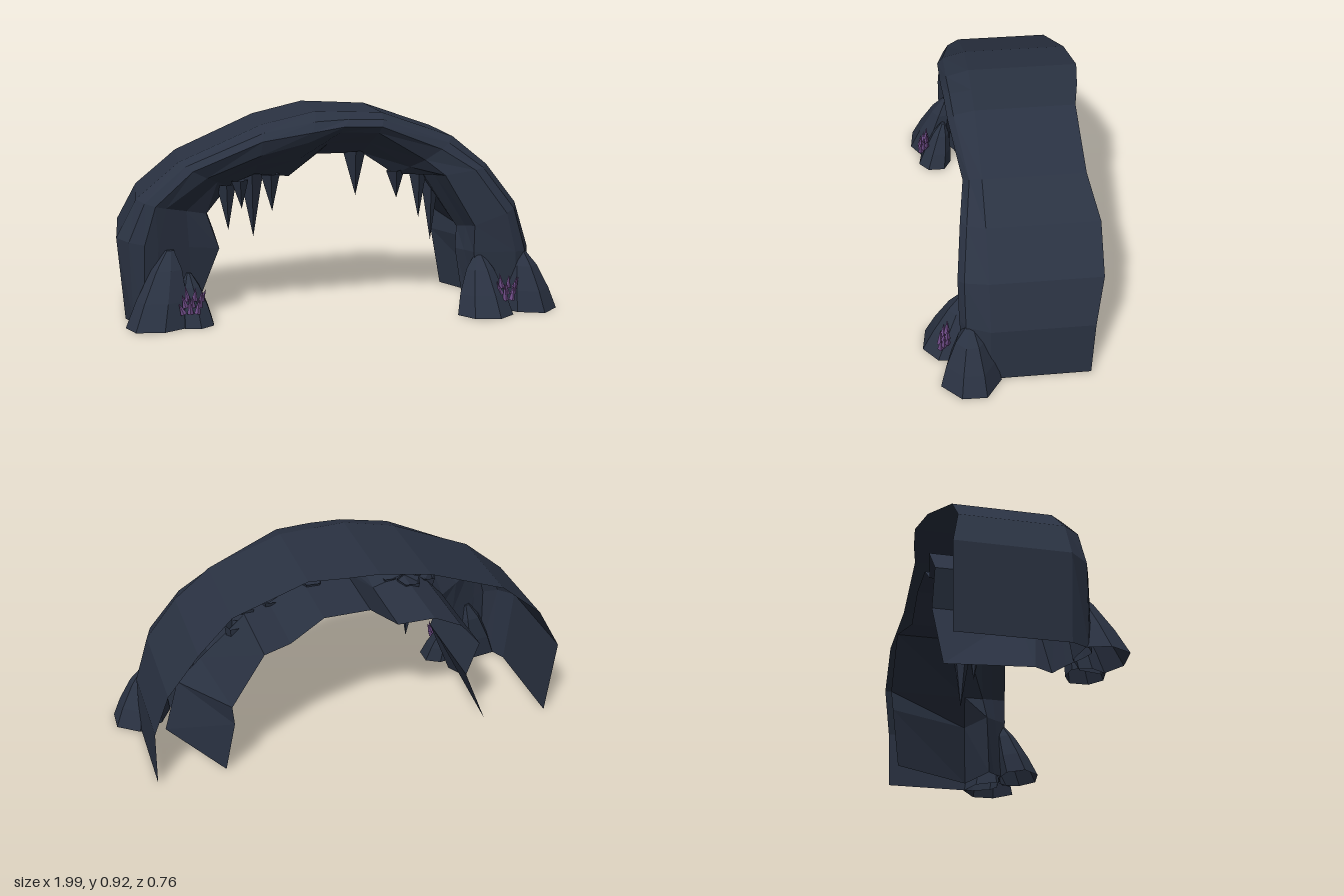
import * as THREE from 'three';

const rock = new THREE.MeshStandardMaterial({ color: 0x2a3242, side: THREE.DoubleSide });
rock.name = 'slate rock';
const violet = new THREE.MeshStandardMaterial({ color: 0x6c4a84, side: THREE.DoubleSide });
violet.name = 'violet crystal';

// Faceted surface through equal-length rows of [x, y, z] points
function loft(rows, closed = false) {
  const n = rows[0].length, index = [];
  for (let i = 0; i < rows.length - 1; i++) {
    for (let j = 0; j < (closed ? n : n - 1); j++) {
      const k = (j + 1) % n;
      const a = i * n + j, b = i * n + k, c = a + n, d = b + n;
      index.push(a, b, c, b, d, c);
    }
  }
  const geo = new THREE.BufferGeometry();
  geo.setAttribute('position', new THREE.Float32BufferAttribute(rows.flat(2), 3));
  geo.setIndex(index);
  const flat = geo.toNonIndexed();
  flat.computeVertexNormals();
  return flat;
}

function add(group, name, geo, material) {
  const mesh = new THREE.Mesh(geo, material);
  mesh.name = name;
  group.add(mesh);
  return mesh;
}

// Arch stations: outer x, y, inner x, y, outer back z, inner back z,
// front rim z, rim width (share of thickness), inner front z, depth of recess behind it
const stations = [
  [-0.97, 0.00, -0.67, 0.00, -0.36, -0.34, 0.20, 0.45, 0.10, 0.85],
  [-1.00, 0.37, -0.545, 0.30, -0.37, -0.37, 0.20, 0.40, 0.07, 1],
  [-0.91, 0.54, -0.60, 0.46, -0.335, -0.37, 0.19, 0.42, 0.07, 1],
  [-0.72, 0.70, -0.50, 0.58, -0.325, -0.38, 0.18, 0.55, 0.05, 1],
  [-0.35, 0.86, -0.38, 0.63, -0.365, -0.36, 0.225, 0.55, 0.04, 1],
  [-0.11, 0.915, -0.22, 0.61, -0.385, -0.33, 0.225, 0.42, 0.00, 1],
  [0.04, 0.91, -0.09, 0.71, -0.365, -0.33, 0.22, 0.40, 0.00, 1],
  [0.19, 0.905, 0.12, 0.71, -0.335, -0.33, 0.215, 0.42, 0.00, 1],
  [0.52, 0.79, 0.27, 0.61, -0.335, -0.33, 0.175, 0.55, 0.02, 1],
  [0.68, 0.66, 0.40, 0.61, -0.375, -0.38, 0.20, 0.75, 0.04, 1],
  [0.82, 0.48, 0.55, 0.37, -0.375, -0.38, 0.225, 0.80, 0.08, 0.8],
  [0.885, 0.27, 0.54, 0.27, -0.34, -0.37, 0.225, 0.82, 0.10, 0.5],
  [0.89, 0.00, 0.58, 0.00, -0.33, -0.33, 0.21, 0.82, 0.12, 0.35],
];

function archGeometry() {
  return loft(stations.map(([ox, oy, ix, iy, backOut, backIn, rim, width, innerZ, recess]) => {
    // Section from outer back edge, round the front rim, to inner back edge
    const section = [
      [0, backOut], [0, -0.1], [0, 0.1], [0.12, rim - 0.025], [0.27, rim],
      [width, rim - 0.02], [(width + 1) / 2, (rim + innerZ) / 2 - 0.015],
      [1, innerZ], [recess, innerZ - 0.08], [1, backIn],
    ];
    return section.map(([t, z]) => [ox + t * (ix - ox), oy + t * (iy - oy), z]);
  }));
}

// Boulder: uneven rings drawn up to a leaning tip
function boulder([cx, cz, rx, rz, tipX, tipY, tipZ], seed) {
  const rings = [[0, 1], [0.35, 0.82], [0.75, 0.5], [1, 0.14]];
  const rows = rings.map(([h, r]) => {
    const row = [];
    for (let i = 0; i < 7; i++) {
      const a = -i / 7 * Math.PI * 2 + seed;
      const k = r * (1 + 0.08 * Math.sin(i * 2.4 + seed * 3));
      row.push([
        cx + (tipX - cx) * h + Math.cos(a) * rx * k,
        tipY * h,
        cz + (tipZ - cz) * h + Math.sin(a) * rz * k,
      ]);
    }
    return row;
  });
  rows.push(rows[3].map(() => [tipX, tipY, tipZ]));
  return loft(rows, true);
}

// Spike between two points
function spike(from, to, radius, sides, material, group, name) {
  const a = new THREE.Vector3(...from), b = new THREE.Vector3(...to);
  const dir = b.clone().sub(a);
  const geo = new THREE.ConeGeometry(radius, dir.length(), sides, 1, true).toNonIndexed();
  geo.computeVertexNormals();
  const mesh = add(group, name, geo, material);
  mesh.position.copy(a).add(b).multiplyScalar(0.5);
  mesh.quaternion.setFromUnitVectors(new THREE.Vector3(0, 1, 0), dir.normalize());
}

// Fan of small crystals
function crystalCluster(x, y, z) {
  const group = new THREE.Group();
  group.name = 'crystalCluster';
  for (let i = 0; i < 9; i++) {
    const dx = (i - 4) * 0.012, low = (i % 3) * 0.025;
    const h = 0.05 + ((i * 5) % 4) * 0.01;
    const base = [x + dx * 0.8, y - 0.05 + low, z - low * 0.6];
    const tip = [x + dx * 1.25, base[1] + h, base[2] - 0.004];
    spike(base, tip, 0.014, 4, violet, group, 'crystal');
  }
  return group;
}

export function createModel() {
  const model = new THREE.Group();
  model.name = 'caveArch';
  add(model, 'archShell', archGeometry(), rock);

  // Boulders at the front feet: centre x, z, radii, tip x, y, z
  [
    [-0.84, 0.25, 0.14, 0.11, -0.77, 0.32, 0.165],
    [-0.665, 0.24, 0.085, 0.09, -0.69, 0.22, 0.19],
    [0.65, 0.28, 0.13, 0.10, 0.63, 0.26, 0.19],
    [0.87, 0.185, 0.14, 0.125, 0.83, 0.27, 0.18],
  ].forEach((b, i) => add(model, 'boulder', boulder(b, 0.4 + i * 0.9), rock));

  // Stalactites: x, top y, tip y, z, radius
  [
    [-0.51, 0.59, 0.38, 0.06, 0.045],
    [-0.45, 0.61, 0.48, 0.08, 0.04],
    [-0.39, 0.635, 0.33, -0.02, 0.058],
    [-0.31, 0.63, 0.46, 0.05, 0.045],
    [0.085, 0.72, 0.51, -0.02, 0.055],
    [0.27, 0.63, 0.50, 0.02, 0.045],
    [0.38, 0.625, 0.40, 0.00, 0.045],
    [0.45, 0.57, 0.28, -0.05, 0.045],
  ].forEach(([x, top, tip, z, r]) =>
    spike([x, top, z], [x + 0.008, tip, z], r, 5, rock, model, 'stalactite'));

  model.add(crystalCluster(-0.68, 0.115, 0.31));
  model.add(crystalCluster(0.735, 0.115, 0.305));
  return model;
}
